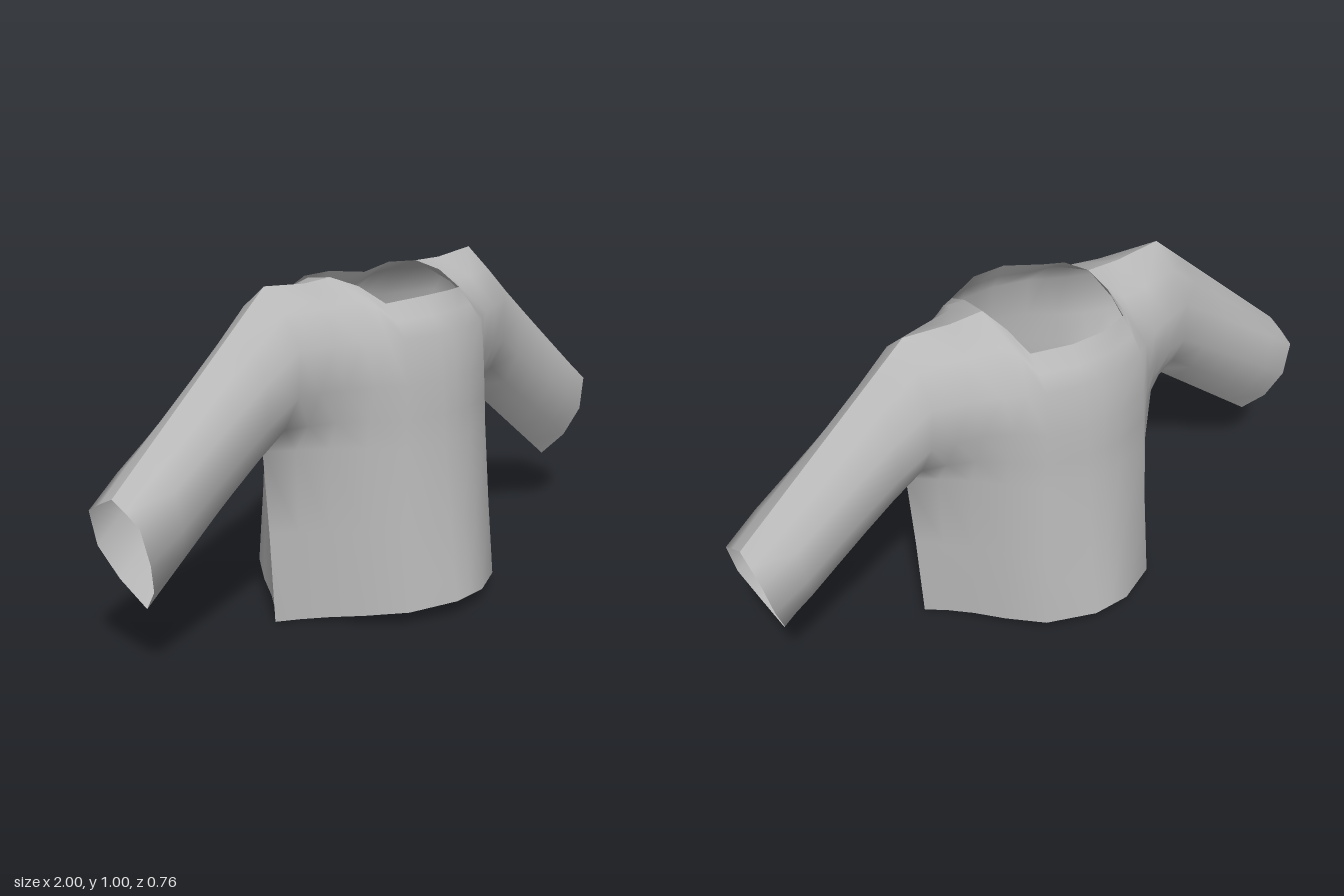
import * as THREE from 'three';
import { mergeVertices, mergeGeometries } from 'three/addons/utils/BufferGeometryUtils.js';

// Sections of one front half, from the middle outwards: [x, y, z]
const level = (y, pts) => pts.map(([x, z]) => [x, y, z]);
const hem = [[0, 0.378], [0.06, 0.378], [0.2, 0.312], [0.28, 0.208], [0.335, 0.12], [0.385, 0.055], [0.437, 0]];
const torsoRows = [
  hem.map(([x, z]) => [x, 0.135 * z, z]),
  level(0.28, [[0, 0.348], [0.06, 0.348], [0.19, 0.297], [0.27, 0.204], [0.33, 0.12], [0.39, 0.055], [0.453, 0]]),
  level(0.53, [[0, 0.322], [0.06, 0.322], [0.185, 0.281], [0.26, 0.202], [0.33, 0.122], [0.4, 0.06], [0.472, 0]]),
  level(0.61, [[0, 0.318], [0.06, 0.318], [0.18, 0.281], [0.255, 0.208], [0.325, 0.145], [0.4, 0.11], [0.468, 0.088]]),
  level(0.71, [[0, 0.313], [0.06, 0.313], [0.175, 0.279], [0.245, 0.22], [0.32, 0.174], [0.395, 0.153], [0.465, 0.139]]),
  level(0.84, [[0, 0.295], [0.06, 0.295], [0.17, 0.265], [0.215, 0.238], [0.275, 0.207], [0.36, 0.173], [0.46, 0.143]]),
  [[0, 0.89, 0.268], [0.058, 0.89, 0.268], [0.167, 0.885, 0.232], [0.188, 0.925, 0.17],
    [0.22, 0.938, 0.125], [0.32, 0.932, 0.11], [0.455, 0.93, 0.08]],
  // Neckline, then the shoulder ridge
  [[0, 0.942, 0.235], [0.055, 0.942, 0.235], [0.165, 0.93, 0.188], [0.18, 0.97, 0.1],
    [0.19, 0.985, 0], [0.3, 0.982, 0], [0.452, 0.996, 0]],
];

// Cuff edge, from the underside to the top
const cuff = [[0.905, 0.198, 0], [0.935, 0.275, 0.07], [0.972, 0.37, 0.108],
  [0.997, 0.475, 0.103], [0.999, 0.505, 0.052], [1, 0.53, 0]];

// Sleeve spans from the armhole to the cuff, with its fullness at each station
const fullness = [1, 0.93, 0.94, 0.98, 1.04, 1];
const sleeveRows = cuff.map((end, i) => {
  const start = torsoRows[i + 2].at(-1);
  return fullness.map((full, j) => {
    const t = j / (fullness.length - 1);
    return [0, 1, 2].map((k) => (start[k] + (end[k] - start[k]) * t) * (k === 2 ? full : 1));
  });
});

// Surface through a grid of points, mirrored by the signs sx and sz
function sheet(rows, sx, sz) {
  const n = rows[0].length;
  const index = [];
  for (let r = 0; r < rows.length - 1; r++) {
    for (let c = 0; c < n - 1; c++) {
      const a = r * n + c, b = a + 1, d = a + n, e = d + 1;
      if (sx * sz > 0) index.push(a, b, e, a, e, d);
      else index.push(a, e, b, a, d, e);
    }
  }
  const pos = rows.flat().flatMap(([x, y, z]) => [x * sx, y, z * sz]);
  const g = new THREE.BufferGeometry();
  g.setAttribute('position', new THREE.Float32BufferAttribute(pos, 3));
  g.setIndex(index);
  return g;
}

// One full panel: both halves of the body and both sleeves, welded smooth
function panel(sz) {
  const parts = [1, -1].flatMap((sx) => [sheet(torsoRows, sx, sz), sheet(sleeveRows, sx, sz)]);
  const g = mergeVertices(mergeGeometries(parts), 1e-4);
  g.computeVertexNormals();
  return g;
}

export function createModel() {
  const group = new THREE.Group();
  group.name = 'shirt';
  const cloth = new THREE.MeshStandardMaterial({ color: 0xb8b8b8, side: THREE.DoubleSide });
  cloth.name = 'grey cloth';
  // Front and back panels meet in a hard seam along the shoulders and sides
  for (const [name, sz] of [['frontPanel', 1], ['backPanel', -1]]) {
    const mesh = new THREE.Mesh(panel(sz), cloth);
    mesh.name = name;
    group.add(mesh);
  }
  return group;
}
